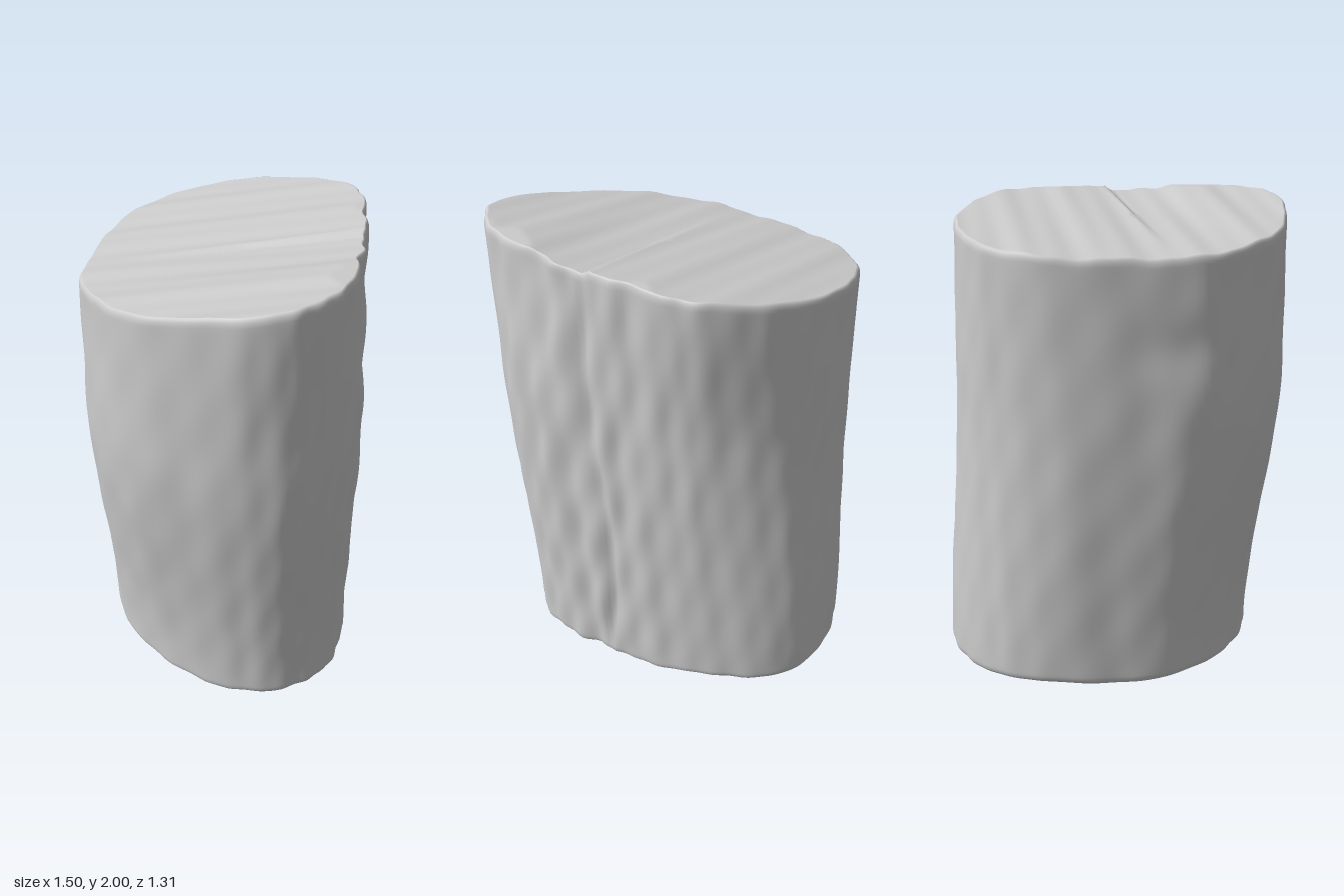
import * as THREE from 'three';

// Outlines of the log as x, z pairs, counter-clockwise seen from above
const BOTTOM = [.65, .08, .65, -.04, .61, -.16, .5, -.28, .36, -.38, .22, -.47, .06, -.56, -.1, -.62, -.27, -.655, -.44, -.635, -.6, -.52,
  -.7, -.37, -.745, -.22, -.74, -.06, -.67, .11, -.49, .31, -.31, .46, -.1, .53, .12, .52, .34, .45, .51, .34, .61, .22];
const MIDDLE = [.73, .12, .72, 0, .66, -.14, .53, -.26, .37, -.38, .24, -.48, .1, -.56, -.03, -.6, -.2, -.605, -.37, -.58, -.52, -.5,
  -.64, -.36, -.695, -.22, -.7, -.06, -.64, .15, -.46, .38, -.26, .57, -.04, .645, .2, .645, .43, .54, .61, .4, .7, .26];
const TOP = [.75, .17, .73, .04, .64, -.1, .5, -.24, .38, -.37, .25, -.48, .12, -.59, 0, -.645, -.17, -.645, -.33, -.6, -.5, -.5,
  -.62, -.36, -.69, -.22, -.705, -.06, -.64, .15, -.45, .38, -.25, .56, -.02, .63, .22, .63, .45, .53, .64, .41, .73, .29];

const COLS = 200, ROWS = 90, RINGS = 40;
const { smoothstep, lerp } = THREE.MathUtils;

function outline(flat) {
  const pts = [];
  for (let i = 0; i < flat.length; i += 2) pts.push(new THREE.Vector3(flat[i], 0, flat[i + 1]));
  const curve = new THREE.CatmullRomCurve3(pts, true);
  return Array.from({ length: COLS }, (_, c) => curve.getPoint(c / COLS));
}
const bottom = outline(BOTTOM), middle = outline(MIDDLE), top = outline(TOP);

// Sloping saw cut, with a shallow step along a crack across the face
function topHeight(x, z) {
  const across = (x - .38) * .77 + (z + .37) * .64;
  const along = -(x - .38) * .64 + (z + .37) * .77;
  const fade = 1 - smoothstep(along, .1, 1.1);
  const step = -.028 * fade * smoothstep(across, -.015, .02) * (1 - smoothstep(across, .05, .4));
  const grooves = .004 * Math.sin(across * 21) + .002 * Math.sin(across * 47 + along * 3);
  return Math.min(2, 1.912 + .115 * x - .13 * z + .035 * Math.max(0, across) + step + grooves);
}

// Nearly flat cut with a low ridge and a small lip at the front right
function bottomHeight(x, z) {
  const across = (x - .38) * .77 + (z + .37) * .64;
  const lip = .018 * Math.exp(-((x - .43) ** 2 + (z - .4) ** 2) / .006);
  return Math.max(0, .033 - .025 * x - .012 * z - lip + .008 * Math.sin(across * 9));
}

// Bark relief: lengthwise ridges, strongest on the flat back side
function relief(c, t) {
  const a = c / COLS * Math.PI * 2;
  const rough = .4 + 1.2 * Math.exp(-(((c / COLS - .16) / .09) ** 2));
  const waves = Math.sin(a * 17 + 1.5 * Math.sin(t * 5)) + .8 * Math.sin(a * 29 + t * 7)
    + .8 * Math.sin(a * 7 + t * 13) * Math.sin(t * 17 + a * 3) + .5 * Math.sin(a * 23 - t * 31);
  const crack = -.014 * Math.exp(-(((c - 36.4 - 2 * Math.sin(t * 6)) / 1.3) ** 2));
  const dent = -.012 * Math.exp(-(((c / COLS - .71) / .025) ** 2) - ((t - .8) / .06) ** 2);
  return .0045 * rough * waves + crack + dent;
}

// Point on the log: column, height fraction, and inset towards the middle
function point(c, t, s) {
  const p = bottom[c].clone().lerp(middle[c], smoothstep(t, 0, .68)).lerp(top[c], smoothstep(t, .65, 1));
  p.multiplyScalar(s * (1 + relief(c, t) / p.length()));
  p.y = lerp(bottomHeight(p.x, p.z), topHeight(p.x, p.z), t);
  return p;
}

// Sheet of rows that wraps around the log
function sheet(name, rows) {
  const pos = [], index = [];
  rows.forEach(([t, s]) => {
    for (let c = 0; c < COLS; c++) pos.push(...point(c, t, s).toArray());
  });
  for (let r = 0; r < rows.length - 1; r++) {
    for (let c = 0; c < COLS; c++) {
      const a = r * COLS + c, b = r * COLS + (c + 1) % COLS;
      index.push(a, b, a + COLS, b, b + COLS, a + COLS);
    }
  }
  const geo = new THREE.BufferGeometry();
  geo.setAttribute('position', new THREE.Float32BufferAttribute(pos, 3));
  geo.setIndex(index);
  geo.computeVertexNormals();
  const mesh = new THREE.Mesh(geo, new THREE.MeshStandardMaterial({ color: 0xcccccc, roughness: 0.9 }));
  mesh.name = name;
  return mesh;
}

export function createModel() {
  const group = new THREE.Group();
  group.name = 'log';

  // Bark with softly rounded rims
  const edge = .018, inset = .022, bark = [];
  for (let i = 0; i <= 5; i++) {
    const a = i / 5 * Math.PI / 2;
    bark.push([edge * (1 - Math.cos(a)), 1 - inset * (1 - Math.sin(a))]);
  }
  for (let i = 1; i < ROWS; i++) bark.push([lerp(edge, 1 - edge, i / ROWS), 1]);
  for (let i = 5; i >= 0; i--) bark.push([1 - bark[i][0], bark[i][1]]);
  group.add(sheet('bark', bark));

  // Cut faces
  const rim = 1 - inset;
  const rings = Array.from({ length: RINGS + 1 }, (_, i) => Math.max(.001, rim * i / RINGS));
  group.add(sheet('bottomCut', rings.map(s => [0, s])));
  group.add(sheet('topCut', [...rings].reverse().map(s => [1, s])));
  return group;
}
